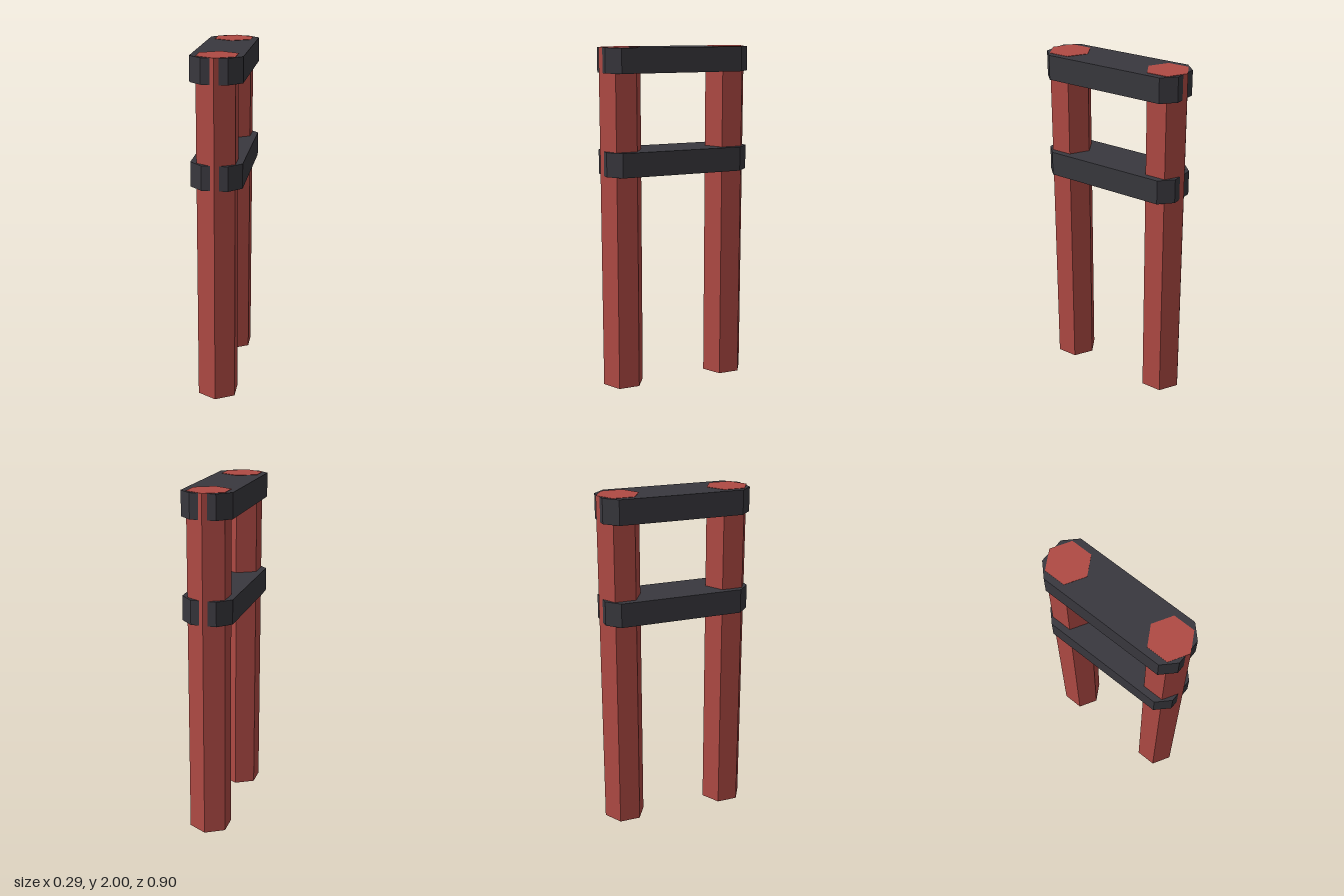
import * as THREE from 'three';

export function createModel() {
  const group = new THREE.Group();
  const red = new THREE.MeshStandardMaterial({ color: 0xb04a44 });
  red.name = 'red post';
  const dark = new THREE.MeshStandardMaterial({ color: 0x39383e });
  dark.name = 'charcoal beam';

  // Hexagonal posts, one corner facing outward
  const postGeometry = new THREE.CylinderGeometry(0.124, 0.124, 2, 6).toNonIndexed();
  postGeometry.computeVertexNormals();
  for (const [name, side] of [['frontPost', 1], ['backPost', -1]]) {
    const post = new THREE.Mesh(postGeometry, red);
    post.name = name;
    post.position.set(0, 1, side * 0.327);
    group.add(post);
  }

  // Beams with chamfered corners, pierced by the posts
  const halfWidth = 0.145, halfLength = 0.437, chamfer = 0.072, height = 0.141;
  const w = halfWidth - chamfer, l = halfLength - chamfer;
  const outline = new THREE.Shape([
    [halfWidth, -l], [halfWidth, l], [w, halfLength], [-w, halfLength],
    [-halfWidth, l], [-halfWidth, -l], [-w, -halfLength], [w, -halfLength],
  ].map(([x, z]) => new THREE.Vector2(x, z)));
  const beamGeometry = new THREE.ExtrudeGeometry(outline, { depth: height, bevelEnabled: false });
  beamGeometry.rotateX(-Math.PI / 2);

  // The top beam sits just under the post tops so their ends stay visible
  for (const [name, y] of [['topBeam', 1.857], ['lowerBeam', 1.275]]) {
    const beam = new THREE.Mesh(beamGeometry, dark);
    beam.name = name;
    beam.position.y = y;
    group.add(beam);
  }
  return group;
}
